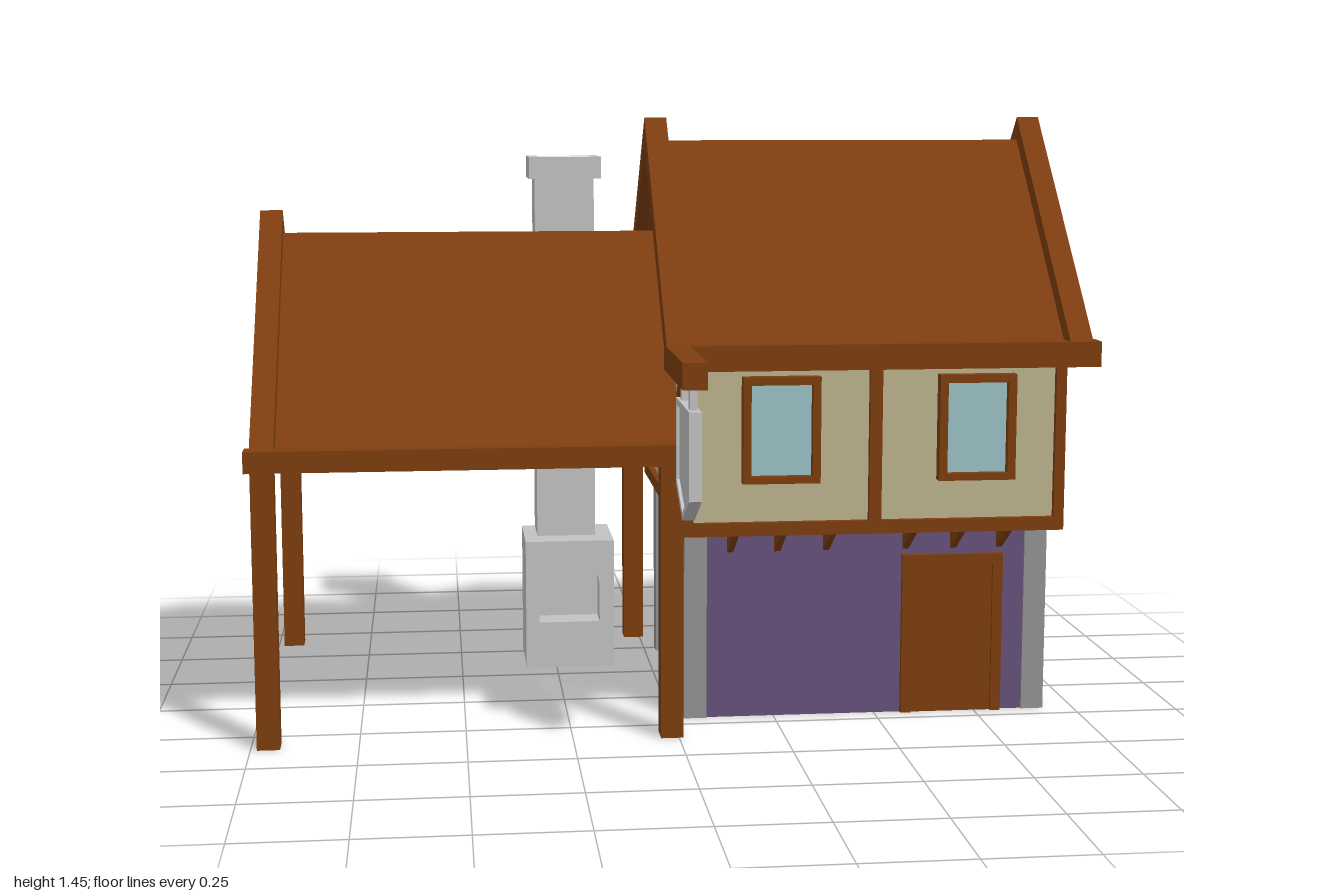
import * as THREE from 'three';

const ZC = -0.16; // ridge line of both roofs

export function createModel() {
  const model = new THREE.Group();
  model.name = 'timberFramedInn';

  const mat = (name, color) => {
    const m = new THREE.MeshStandardMaterial({ color });
    m.name = name;
    return m;
  };
  const timber = mat('timber brown', 0x7d3d0f);
  const plaster = mat('plaster beige', 0xbbb28c);
  const wall = mat('wall purple', 0x655179);
  const glass = mat('window glass', 0x9ac0c5);
  const stone = mat('light stone', 0xc2c2c2);
  const cornerStone = mat('corner stone', 0x929292);

  const add = (name, geo, m, parent = model) => {
    const mesh = new THREE.Mesh(geo, m);
    mesh.name = name;
    parent.add(mesh);
    return mesh;
  };
  // box given by its limits
  const box = (name, m, x0, x1, y0, y1, z0, z1) => {
    const g = new THREE.BoxGeometry(x1 - x0, y1 - y0, z1 - z0);
    g.translate((x0 + x1) / 2, (y0 + y1) / 2, (z0 + z1) / 2);
    return add(name, g, m);
  };
  // outline of [z, y] points stretched along x, with optional holes
  const prism = (name, m, pts, x0, x1, holes = []) => {
    const toV = (list) => list.map(([z, y]) => new THREE.Vector2(-z, y));
    const s = new THREE.Shape(toV(pts));
    holes.forEach((h) => s.holes.push(new THREE.Path(toV(h))));
    const g = new THREE.ExtrudeGeometry(s, { depth: x1 - x0, bevelEnabled: false });
    g.rotateY(Math.PI / 2);
    g.translate(x0, 0, 0);
    return add(name, g, m);
  };
  // inverted V of half width h, sloping at 45 degrees, t thick vertically
  const chevron = (name, peak, h, t, x0, x1) => prism(name, timber, [
    [ZC - h, peak - h], [ZC, peak], [ZC + h, peak - h],
    [ZC + h - t, peak - h], [ZC, peak - t], [ZC - h + t, peak - h],
  ], x0, x1);
  // sloping timber between two [z, y] points
  const brace = (name, a, b, w, x0, x1) => {
    const dz = b[0] - a[0], dy = b[1] - a[1], l = Math.hypot(dz, dy);
    const nz = (-dy / l) * w / 2, ny = (dz / l) * w / 2;
    return prism(name, timber, [
      [a[0] + nz, a[1] + ny], [b[0] + nz, b[1] + ny],
      [b[0] - nz, b[1] - ny], [a[0] - nz, a[1] - ny],
    ], x0, x1);
  };
  // recessed gable: panel, rafters, tie beam and king post; out is +1 or -1
  const gable = (name, eave, face, out) => {
    const span = (d0, d1) => [face + out * d0, face + out * d1].sort((a, b) => a - b);
    const top = eave + 0.46;
    prism(name + 'Panel', timber, [[ZC - 0.46, eave], [ZC, top], [ZC + 0.46, eave]], ...span(-0.01, 0));
    chevron(name + 'Rafters', top + 0.01, 0.46, 0.05, ...span(0, 0.012));
    const [x0, x1] = span(0, 0.015);
    box(name + 'Tie', timber, x0, x1, eave - 0.06, eave + 0.03, ZC - 0.47, ZC + 0.47);
    box(name + 'KingPost', timber, x0, x1, eave, top - 0.02, ZC - 0.016, ZC + 0.016);
  };
  const sides = [1, -1];

  // ground floor: open shell with stone corners
  for (const s of sides) {
    const z = ZC + s * 0.345;
    box('longWall', wall, 0.05, 0.905, 0, 0.48, z - 0.01, z + 0.01);
    for (const x of [0.03, 0.87]) {
      const zc = ZC + s * 0.3335;
      box('cornerStone', cornerStone, x, x + 0.055, 0, 0.48, zc - 0.0275, zc + 0.0275);
    }
    const xw = s > 0 ? 0.905 : 0.05;
    box('endWall', wall, xw - 0.01, xw + 0.01, 0, 0.48, ZC - 0.345, ZC + 0.345);
  }

  // door with frame
  box('doorPanel', timber, 0.575, 0.805, 0, 0.385, 0.19, 0.2);
  for (const x of [0.565, 0.79]) box('doorPost', timber, x, x + 0.025, 0, 0.395, 0.19, 0.208);
  box('doorLintel', timber, 0.565, 0.815, 0.37, 0.395, 0.19, 0.208);

  // jettied upper floor
  box('upperFloor', plaster, 0.03, 0.92, 0.475, 0.88, -0.61, 0.29);
  for (const s of sides) {
    const zi = ZC + s * 0.44, zo = ZC + s * 0.465;
    const z0 = Math.min(zi, zo), z1 = Math.max(zi, zo);
    box('sillBeam', timber, 0.015, 0.935, 0.47, 0.502, z0, z1);
    box('topBeam', timber, 0.015, 0.935, 0.865, 0.93, z0, z1);
    for (const x of [0.015, 0.915]) box('cornerPost', timber, x, x + 0.02, 0.47, 0.88, z0, z1);
    box('middlePost', timber, 0.46, 0.49, 0.48, 0.88, z0, z1);

    // windows
    for (const x of [0.2475, 0.7175]) {
      const outline = (w, y0, y1) => [[-w, y0], [w, y0], [w, y1], [-w, y1]].map((p) => new THREE.Vector2(...p));
      const shape = new THREE.Shape(outline(0.0925, 0.597, 0.85));
      shape.holes.push(new THREE.Path(outline(0.073, 0.614, 0.831)));
      const g = new THREE.ExtrudeGeometry(shape, { depth: 0.04, bevelEnabled: false });
      g.translate(x, 0, s > 0 ? 0.28 : -0.64);
      add('windowFrame', g, timber);
      const zg = ZC + s * 0.455;
      box('windowPane', glass, x - 0.08, x + 0.08, 0.605, 0.84, zg - 0.004, zg + 0.004);
    }

    // jetty brackets
    for (const x of [0.135, 0.25, 0.37, 0.567, 0.685, 0.8]) {
      prism('jettyBracket', timber, [
        [ZC + s * 0.34, 0.475], [ZC + s * 0.46, 0.475], [ZC + s * 0.34, 0.4],
      ], x, x + 0.015);
    }

    // end wall timbers with V braces
    const [x0, x1] = s > 0 ? [0.91, 0.935] : [0.015, 0.04];
    box('endSill', timber, x0, x1, 0.47, 0.502, ZC - 0.465, ZC + 0.465);
    box('endPost', timber, x0, x1, 0.48, 0.88, ZC - 0.016, ZC + 0.016);
    for (const k of sides) {
      const zc = ZC + k * 0.457;
      box('endCornerPost', timber, x0, x1, 0.47, 0.88, zc - 0.008, zc + 0.008);
      brace('endBrace', [ZC + k * 0.015, 0.485], [ZC + k * 0.42, 0.875], 0.042, x0 + 0.002, x1 - 0.002);
    }
  }

  // main roof
  chevron('mainRoof', 1.393, 0.47, 0.04, 0, 0.95);
  for (const x of [-0.03, 0.925]) chevron('mainBargeBoard', 1.45, 0.52, 0.068, x, x + 0.055);
  gable('eastGable', 0.93, 0.935, 1);
  gable('westGable', 0.93, 0.015, -1);

  // side shelter roof
  chevron('shelterRoof', 1.167, 0.47, 0.04, -0.96, 0.01);
  chevron('shelterBargeBoard', 1.223, 0.52, 0.068, -0.985, -0.93);
  gable('shelterGable', 0.7, -0.945, -1);
  for (const k of sides) {
    brace('gableInnerBrace', [ZC, 0.72], [ZC + k * 0.2, 0.92], 0.03, -0.936, -0.925);
  }
  for (const x of [-0.63, -0.33]) chevron('shelterRafter', 1.13, 0.44, 0.03, x, x + 0.025);

  // eave beams and shelter posts
  for (const s of sides) {
    const z = ZC + s * 0.4925;
    const z0 = z - 0.0285, z1 = z + 0.0285;
    box('mainEave', timber, -0.03, 1, 0.87, 0.93, z0, z1);
    box('shelterEave', timber, -1, 0.01, 0.65, 0.7, z0, z1);
    for (const x of [-0.985, -0.043]) box('shelterPost', timber, x, x + 0.053, 0, 0.66, z0, z1);
  }

  // fireplace base with arched hearth
  box('fireplaceBack', stone, -0.33, -0.097, 0, 0.34, -0.545, -0.4);
  const front = new THREE.Shape();
  front.moveTo(-0.33, 0).lineTo(-0.097, 0).lineTo(-0.097, 0.34).lineTo(-0.33, 0.34).closePath();
  const arch = new THREE.Path();
  arch.moveTo(-0.295, 0.122).lineTo(-0.295, 0.215);
  arch.absarc(-0.215, 0.215, 0.08, Math.PI, 0, true);
  arch.lineTo(-0.135, 0.122).closePath();
  front.holes.push(arch);
  const hearth = new THREE.ExtrudeGeometry(front, { depth: 0.08, bevelEnabled: false, curveSegments: 10 });
  hearth.translate(0, 0, -0.4);
  add('hearth', hearth, stone);

  // chimney shaft and hollow cap
  box('chimneyShaft', stone, -0.295, -0.14, 0.34, 1.29, -0.545, -0.4);
  const cap = (x0, x1, z0, z1) => [[x0, z0], [x1, z0], [x1, z1], [x0, z1]].map(([x, z]) => new THREE.Vector2(x, -z));
  const rim = new THREE.Shape(cap(-0.31, -0.122, -0.56, -0.387));
  rim.holes.push(new THREE.Path(cap(-0.284, -0.148, -0.535, -0.412)));
  const capGeo = new THREE.ExtrudeGeometry(rim, { depth: 0.057, bevelEnabled: false });
  capGeo.rotateX(-Math.PI / 2);
  capGeo.translate(0, 1.29, 0);
  add('chimneyCap', capGeo, stone);

  // hanging sign
  box('signBeam', timber, -0.03, 0.025, 0.87, 0.93, 0.3, 0.68);
  const shield = (i) => [
    [0.425 + i, 0.822 - i], [0.682 - i, 0.822 - i], [0.682 - i, 0.625 + i * 0.6],
    [0.5535, 0.56 + i * 1.1], [0.425 + i, 0.625 + i * 0.6],
  ];
  prism('signRim', stone, shield(0), -0.016, 0.012, [shield(0.016)]);
  prism('signBoard', stone, shield(0.012), -0.009, 0.005);
  for (const z of [0.46, 0.622]) box('signHanger', stone, -0.01, 0.006, 0.815, 0.875, z, z + 0.025);

  return model;
}
